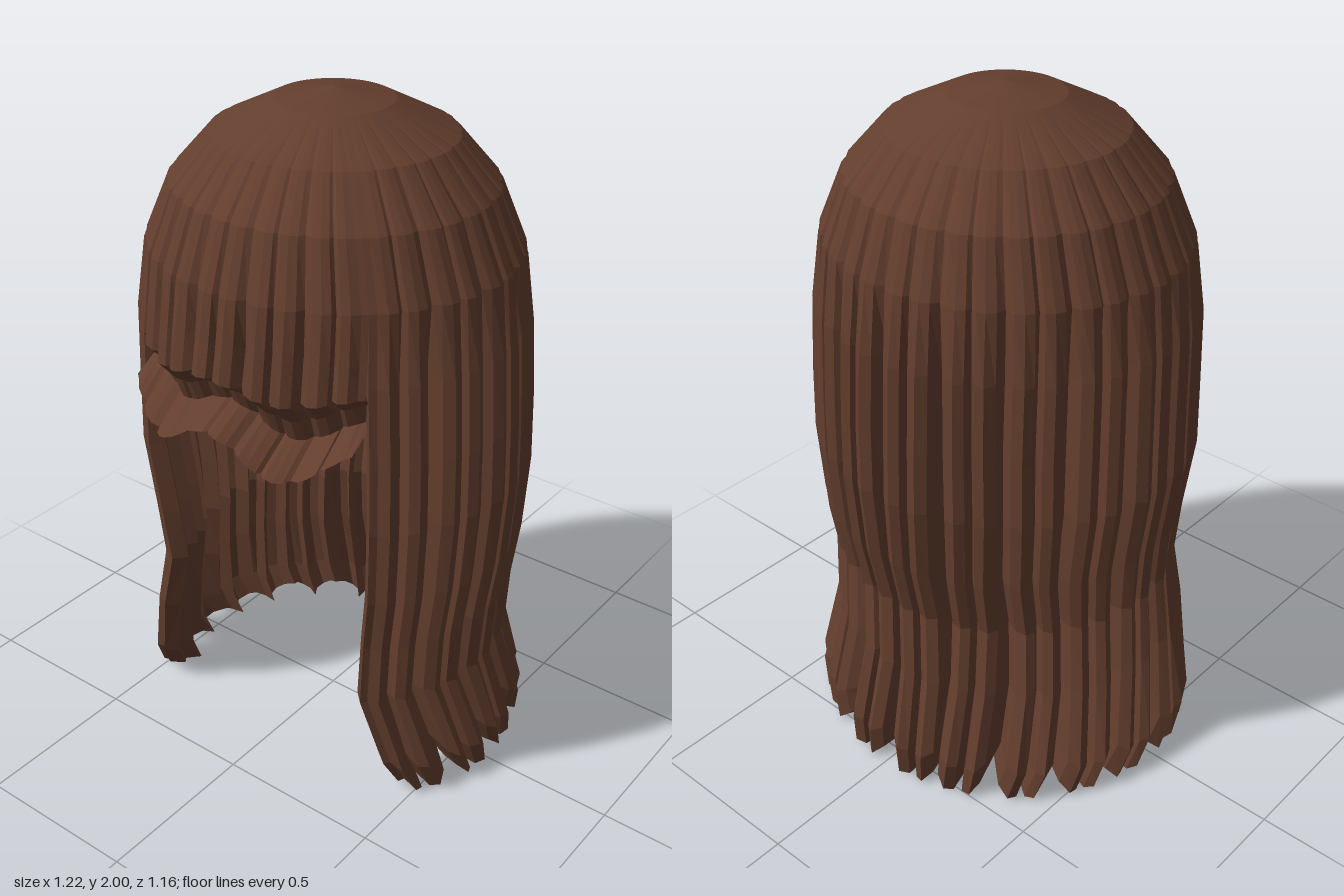
import * as THREE from 'three';

const brown = new THREE.MeshStandardMaterial({ color: 0x633e2e });
brown.name = 'brown hair';

// One lock across its width: [position, ridge height, hem notch]
const LOCK = [
  [0, -1, 1], [0.12, 0.25, 0.45], [0.28, 0.7, 0.1], [0.43, 0.4, 0],
  [0.5, -0.6, 0.12], [0.57, 0.4, 0], [0.72, 0.7, 0.1], [0.88, 0.25, 0.45],
];

// Rows from crown downwards: y, x radius, z radius, centre x, centre z, groove depth, opening half angle
const CROWN = [
  [2.0, 0, 0, 0.02, 0.02, 0, 0.78],
  [1.972, 0.165, 0.16, 0.02, 0.02, 0, 0.78],
  [1.885, 0.342, 0.33, 0.02, 0.02, 0.004, 0.78],
  [1.755, 0.46, 0.438, 0.02, 0.02, 0.008, 0.78],
  [1.58, 0.54, 0.498, 0.02, 0.02, 0.014, 0.78],
];
const LENGTHS = [
  [1.38, 0.567, 0.53, 0.02, 0.02, 0.035, 0.78],
  [1.15, 0.577, 0.54, 0.025, 0.02, 0.037, 0.78],
  [0.95, 0.582, 0.545, 0.026, 0.02, 0.037, 0.78],
  [0.72, 0.56, 0.525, 0.035, 0.02, 0.037, 0.77],
  [0.55, 0.545, 0.497, 0.03, 0.02, 0.037, 0.75],
  [0.35, 0.552, 0.527, 0.0, 0.01, 0.04, 0.79],
  [0.1, 0.61, 0.578, 0.0, 0.0, 0.053, 0.9],
  [0, 0.6, 0.575, 0.0, 0.0, 0.057, 1.0],
];
// Fringe below the crown: rolls in, then flicks out to a thin lip
const FRINGE = [
  [1.45, 0.555, 0.522, 0.02, 0.02, 0.025, 0.78],
  [1.34, 0.56, 0.54, 0.02, 0.02, 0.022, 0.78],
  [1.29, 0.54, 0.48, 0.02, 0.02, 0.015, 0.78],
  [1.23, 0.535, 0.455, 0.02, 0.02, 0.012, 0.78],
  [1.16, 0.575, 0.56, 0.02, 0.02, 0.012, 0.72],
];
const FRINGE_WAVE = [0, 0.015, 0.03, 0.035, 0.048];
const THICKNESS = 0.05;

function samples(count) {
  const list = [];
  for (let i = 0; i < count; i++)
    for (const [p, ridge, notch] of LOCK) list.push({ t: (i + p) / count, ridge, notch, lock: i });
  list.push({ t: 1, ridge: 0.3, notch: 0.4, lock: count });
  // The outermost edges are ridges rather than grooves
  Object.assign(list[0], { ridge: 0.3, notch: 0.4 });
  return list;
}

function place(row, angle, ridge, inset, y) {
  const [, rx, rz, cx, cz, depth] = row;
  const r = (base) => Math.max(0, base + depth * (ridge - 0.7) - inset);
  return new THREE.Vector3(cx + r(rx) * Math.sin(angle), y, cz + r(rz) * Math.cos(angle));
}

// Locks round the sides and back: outer face, and a matching inner face
function lengthColumn({ t, ridge, notch, lock }) {
  const side = (inset) => [...CROWN, ...LENGTHS].map((row) => {
    const [y, , , , , , edge] = row;
    const drop = Math.max(0, 1.4 - y);
    const sway = 0.02 * drop * Math.sin(3.5 * y + lock * 2.1) * Math.sin(Math.PI * t);
    const angle = edge + t * (2 * Math.PI - 2 * edge) + sway;
    // The front locks hang straight instead of flaring
    const straight = y < 0.2 ? 0.03 * Math.max(0, 1 - Math.min(t, 1 - t) / 0.08) : 0;
    const lift = y === 0 ? 0.085 * notch : y < 0.2 ? 0.05 * notch : 0;
    return place(row, angle, ridge, inset + straight, y > 1.5 ? y - inset * 0.9 : y + lift);
  });
  return { outer: side(0), inner: side(THICKNESS) };
}

// Fringe sheet with a wavy lower edge
function fringeColumn({ t, ridge }) {
  const side = (inset) => [...CROWN, ...FRINGE].map((row, i) => {
    const angle = row[6] * (2 * t - 1);
    const k = i - CROWN.length;
    const y = row[0] + (k < 0 ? -0.9 * inset : FRINGE_WAVE[k] * Math.cos(angle * 8.2));
    return place(row, angle, ridge, inset, y);
  });
  return { outer: side(0), inner: side(THICKNESS) };
}

// Skins neighbouring columns and closes both end walls, with hard facets
function skin(columns, name) {
  const pos = [];
  const tri = (...pts) => pts.forEach((p) => pos.push(p.x, p.y, p.z));
  const quad = (a, b, c, d) => { tri(a, b, c); tri(a, c, d); };
  const loops = columns.map((c) => [...c.outer, ...c.inner.slice().reverse()]);
  for (let c = 0; c < loops.length - 1; c++)
    for (let r = 0; r < loops[c].length - 1; r++)
      quad(loops[c][r], loops[c][r + 1], loops[c + 1][r + 1], loops[c + 1][r]);
  const first = columns[0], last = columns[columns.length - 1];
  for (let r = CROWN.length - 1; r < first.outer.length - 1; r++) {
    quad(first.outer[r], first.inner[r], first.inner[r + 1], first.outer[r + 1]);
    quad(last.inner[r], last.outer[r], last.outer[r + 1], last.inner[r + 1]);
  }
  const geometry = new THREE.BufferGeometry();
  geometry.setAttribute('position', new THREE.Float32BufferAttribute(pos, 3));
  geometry.computeVertexNormals();
  const mesh = new THREE.Mesh(geometry, brown);
  mesh.name = name;
  return mesh;
}

export function createModel() {
  const group = new THREE.Group();
  group.name = 'longHair';
  group.add(skin(samples(14).map(lengthColumn), 'sideAndBackLocks'));
  group.add(skin(samples(5).map(fringeColumn), 'fringe'));
  return group;
}
